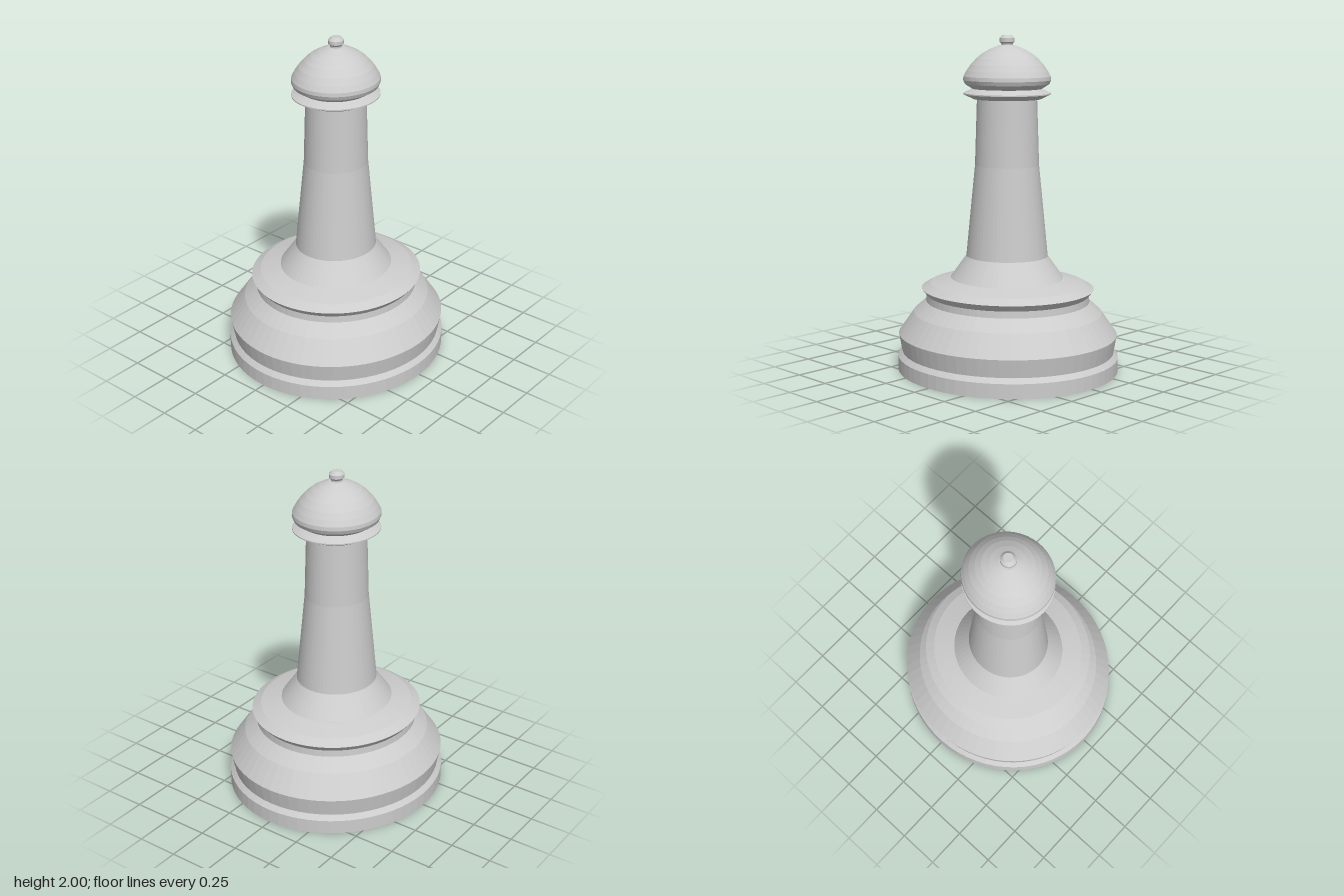
import * as THREE from 'three';

const SEGMENTS = 64;
const DEPTH = 0.952; // turned body is slightly narrower front to back

// Each part is a turned profile of [radius, height] points, bottom to top.
const PARTS = {
  plinth: [[0, 0], [0.68, 0], [0.68, 0.085], [0.655, 0.113], [0, 0.113]],
  baseDrum: [[0.653, 0.113], [0.673, 0.22], [0.58, 0.35], [0.503, 0.418], [0.5, 0.458], [0, 0.458]],
  skirtRing: [[0, 0.458], [0.5, 0.458], [0.53, 0.495], [0.475, 0.525], [0.347, 0.558]],
  column: [[0.347, 0.558], [0.25, 0.69], [0.195, 1.235], [0.182, 1.63]],
  collar: [[0.18, 1.625], [0.205, 1.627], [0.264, 1.655], [0.264, 1.662], [0.21, 1.687]],
  dome: [[0.21, 1.687], [0.255, 1.715], [0.265, 1.738], [0.263, 1.76], [0.245, 1.792], [0.22, 1.828],
    [0.185, 1.865], [0.15, 1.893], [0.105, 1.918], [0.05, 1.94], [0, 1.945]],
  finial: [[0.034, 1.94], [0.035, 1.95], [0.046, 1.961], [0.046, 1.982], [0.028, 2], [0, 2]],
};
const UPPER = ['column', 'collar', 'dome', 'finial'];

export function createModel() {
  const model = new THREE.Group();
  model.name = 'turnedPiece';
  const material = new THREE.MeshStandardMaterial({ color: 0xcccccc, flatShading: true });
  material.name = 'lightGrey';

  for (const [name, profile] of Object.entries(PARTS)) {
    const points = profile.map(([r, y]) => new THREE.Vector2(r, y));
    const mesh = new THREE.Mesh(new THREE.LatheGeometry(points, SEGMENTS), material);
    mesh.name = name;
    mesh.scale.z = DEPTH;
    // the shaft and head sit a touch off centre
    if (UPPER.includes(name)) mesh.position.x = -0.004;
    model.add(mesh);
  }
  return model;
}
